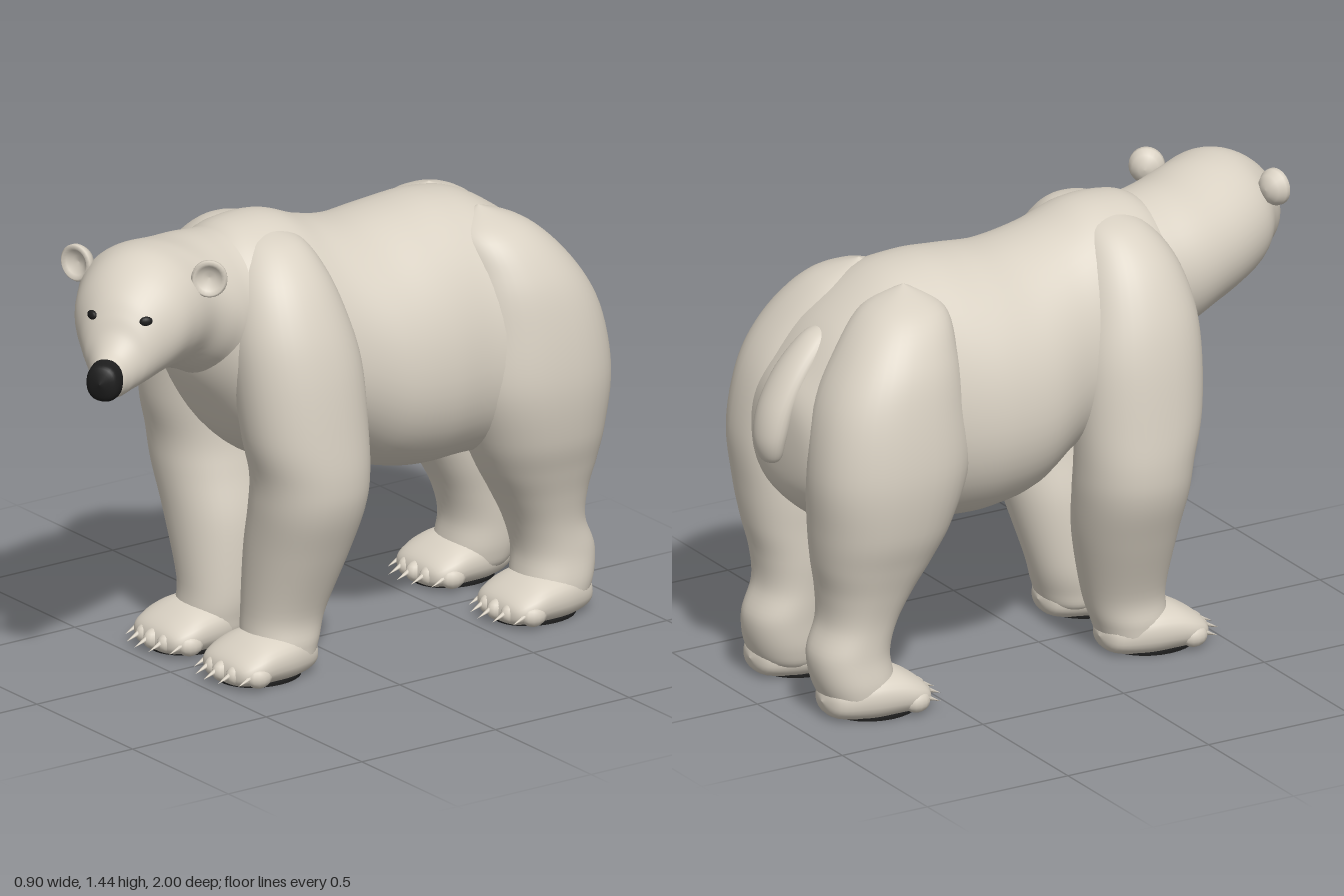
import * as THREE from 'three';

const furMat = new THREE.MeshStandardMaterial({ color: 0xd9d1c3 });
furMat.name = 'cream fur';
const darkMat = new THREE.MeshStandardMaterial({ color: 0x1d1d1d });
darkMat.name = 'dark skin';

const HEAD = { x: 0.085, z: 0.66, yaw: 0.6 };

// Catmull-Rom step for one ring value
const spline = (a, b, c, d, t) =>
  b + 0.5 * t * (c - a + t * (2 * a - 5 * b + 4 * c - d + t * (3 * (b - c) + d - a)));

// Smooth closed skin over elliptical rings [x, y, z, halfWidth, halfDepth, yaw].
// axis 'z': rings face forward, listed back to front. axis 'y': rings lie flat, listed bottom to top.
function loft(rings, { axis = 'z', power = 2, pear = 0, floor = -Infinity, sides = 40, steps = 6 } = {}) {
  const pos = [], index = [];
  const last = rings.length - 1;
  const rows = last * steps;
  const at = (i) => rings[Math.min(last, Math.max(0, i))];
  const bulge = (v) => Math.sign(v) * Math.pow(Math.abs(v), 2 / power);
  for (let r = 0; r <= rows; r++) {
    const i = Math.min(last - 1, Math.floor(r / steps));
    const t = r / steps - i;
    const v = [0, 1, 2, 3, 4, 5].map((k) =>
      spline(at(i - 1)[k] || 0, at(i)[k] || 0, at(i + 1)[k] || 0, at(i + 2)[k] || 0, t));
    const [x, y, z, , , yaw] = v;
    const a = Math.max(0, v[3]), b = Math.max(0, v[4]);
    for (let j = 0; j < sides; j++) {
      const ang = (j / sides) * Math.PI * 2;
      const s = bulge(Math.sin(ang));
      const c = bulge(Math.cos(ang)) * (1 - pear * s);
      if (axis === 'z') pos.push(x + a * c * Math.cos(yaw), Math.max(floor, y + b * s), z - a * c * Math.sin(yaw));
      else pos.push(x + a * c, Math.max(floor, y), z - b * s);
    }
  }
  for (let r = 0; r < rows; r++) {
    for (let j = 0; j < sides; j++) {
      const p = r * sides + j, q = r * sides + ((j + 1) % sides);
      index.push(p, q, p + sides, q, q + sides, p + sides);
    }
  }
  const g = new THREE.BufferGeometry();
  g.setAttribute('position', new THREE.Float32BufferAttribute(pos, 3));
  g.setIndex(index);
  g.computeVertexNormals();
  return g;
}

function add(parent, name, geometry, material = furMat) {
  const m = new THREE.Mesh(geometry, material);
  m.name = name;
  parent.add(m);
  return m;
}

// Paw with toes, claws and a dark sole; the origin is under the ankle
function makePaw(name, x, z) {
  const paw = new THREE.Group();
  paw.name = name;
  paw.position.set(x, 0, z);
  add(paw, 'foot', loft([
    [0, 0.06, -0.115, 0, 0], [0, 0.06, -0.09, 0.075, 0.05], [0, 0.07, 0, 0.12, 0.08],
    [0, 0.068, 0.1, 0.135, 0.076], [0, 0.056, 0.17, 0.132, 0.058],
    [0, 0.045, 0.215, 0.1, 0.035], [0, 0.042, 0.23, 0, 0],
  ], { floor: 0.006, power: 2.3, sides: 32, steps: 5 }));
  for (let i = -2; i <= 2; i++) {
    const tx = i * 0.056, tz = 0.205 - 0.012 * i * i;
    const toe = add(paw, 'toe', new THREE.SphereGeometry(0.035, 14, 10));
    toe.position.set(tx, 0.043, tz);
    toe.scale.set(0.9, 1, 1.25);
    const claw = add(paw, 'claw', new THREE.ConeGeometry(0.011, 0.065, 8));
    claw.position.set(tx * 1.03, 0.041, tz + 0.052);
    claw.rotation.x = Math.PI / 2 + 0.4;
  }
  const sole = add(paw, 'sole', new THREE.CylinderGeometry(1, 1, 0.008, 28), darkMat);
  sole.scale.set(0.11, 1, 0.135);
  sole.position.set(0, 0.005, 0.075);
  // furry band between the main pad and the toe pads
  const band = add(paw, 'soleFur', new THREE.TorusGeometry(0.062, 0.01, 6, 20, Math.PI));
  band.rotation.x = Math.PI / 2;
  band.scale.z = 0.3;
  band.position.set(0, 0.003, 0.08);
  return paw;
}

export function createModel() {
  const bear = new THREE.Group();
  bear.name = 'bear';

  // Trunk from rump to chest
  add(bear, 'body', loft([
    [0, 0.85, -0.935, 0, 0], [0, 0.85, -0.92, 0.17, 0.14], [0, 0.855, -0.86, 0.29, 0.235],
    [0, 0.888, -0.76, 0.36, 0.328], [0, 0.93, -0.6, 0.385, 0.4], [0, 0.943, -0.45, 0.37, 0.418],
    [0, 0.938, -0.3, 0.38, 0.413], [0, 0.95, -0.15, 0.37, 0.39], [0, 1.01, 0, 0.325, 0.36],
    [0, 1.037, 0.12, 0.31, 0.378], [0, 1.04, 0.22, 0.31, 0.383], [0, 1.07, 0.32, 0.285, 0.335],
    [0, 1.1, 0.4, 0.23, 0.24], [0, 1.1, 0.45, 0.13, 0.13], [0, 1.1, 0.465, 0, 0],
  ], { pear: 0.1, power: 2.1, sides: 56 }));

  // Neck bending into the turned head
  const headRing = (d, y, a, b) =>
    [HEAD.x + d * Math.sin(HEAD.yaw), y, HEAD.z + d * Math.cos(HEAD.yaw), a, b, HEAD.yaw];
  add(bear, 'neckAndHead', loft([
    [0, 1.17, 0.1, 0, 0, 0], [0, 1.17, 0.2, 0.2, 0.2, 0], [0, 1.17, 0.38, 0.235, 0.23, 0.1],
    [0.02, 1.2, 0.5, 0.235, 0.212, 0.35],
    headRing(-0.05, 1.232, 0.222, 0.203), headRing(0.05, 1.242, 0.2, 0.193),
    headRing(0.13, 1.228, 0.177, 0.173), headRing(0.2, 1.196, 0.136, 0.148),
    headRing(0.238, 1.168, 0.108, 0.122), headRing(0.265, 1.14, 0.085, 0.096),
    headRing(0.3, 1.12, 0.066, 0.076), headRing(0.345, 1.113, 0.047, 0.052),
    headRing(0.365, 1.113, 0, 0),
  ], { sides: 48 }));

  // Face details in the head's own frame
  const face = new THREE.Group();
  face.name = 'face';
  face.position.set(HEAD.x, 0, HEAD.z);
  face.rotation.y = HEAD.yaw;
  bear.add(face);
  add(face, 'nose', loft([
    [0, 1.118, 0.315, 0, 0], [0, 1.118, 0.325, 0.048, 0.056], [0, 1.114, 0.35, 0.054, 0.062],
    [0, 1.115, 0.38, 0.045, 0.05], [0, 1.118, 0.398, 0, 0],
  ], { sides: 24, power: 2.3 }), darkMat);
  const earProfile = [[0, -0.036], [0.02, -0.034], [0.042, -0.022], [0.055, 0], [0.056, 0.015],
    [0.048, 0.023], [0.038, 0.012], [0.02, 0.001], [0, -0.002]].map((p) => new THREE.Vector2(...p));
  for (const s of [1, -1]) {
    const side = s > 0 ? 'left' : 'right';
    const ear = add(face, side + 'Ear', new THREE.LatheGeometry(earProfile, 24));
    ear.position.set(s * 0.212, 1.358, 0);
    ear.rotation.set(Math.PI / 2, 0, -s * 0.3);
    ear.scale.set(1, 1, 1.05);
    const eye = add(face, side + 'Eye', new THREE.SphereGeometry(0.016, 14, 10), darkMat);
    eye.position.set(s * 0.087, 1.275, 0.22);
    eye.rotation.y = s * 0.6;
    eye.scale.set(1.3, 0.95, 0.7);
  }

  // Legs, mirrored; shoulders and haunches run up into the trunk
  const frontLeg = [
    [0.175, 0.02, 0.21, 0, 0], [0.175, 0.04, 0.215, 0.1, 0.085], [0.172, 0.1, 0.215, 0.12, 0.115],
    [0.167, 0.2, 0.198, 0.127, 0.128], [0.21, 0.4, 0.178, 0.163, 0.158],
    [0.255, 0.55, 0.172, 0.177, 0.175], [0.272, 0.66, 0.174, 0.176, 0.183],
    [0.268, 0.8, 0.19, 0.172, 0.2], [0.24, 1.0, 0.2, 0.175, 0.205], [0.2, 1.15, 0.21, 0.172, 0.188],
    [0.15, 1.28, 0.21, 0.15, 0.15], [0.1, 1.37, 0.2, 0.1, 0.09], [0.08, 1.4, 0.2, 0, 0],
  ];
  const hindLeg = [
    [0.205, 0.02, -0.77, 0, 0], [0.205, 0.04, -0.77, 0.1, 0.09], [0.2, 0.1, -0.78, 0.125, 0.122],
    [0.19, 0.2, -0.793, 0.125, 0.124], [0.187, 0.3, -0.762, 0.13, 0.119],
    [0.192, 0.4, -0.738, 0.148, 0.147], [0.205, 0.5, -0.718, 0.168, 0.188],
    [0.22, 0.62, -0.698, 0.192, 0.224], [0.235, 0.8, -0.678, 0.2, 0.257],
    [0.22, 1.0, -0.665, 0.195, 0.237], [0.2, 1.15, -0.63, 0.17, 0.19],
    [0.16, 1.27, -0.58, 0.12, 0.125], [0.13, 1.33, -0.56, 0, 0],
  ];
  for (const s of [1, -1]) {
    const side = s > 0 ? 'left' : 'right';
    const mirror = (rings) => rings.map(([x, ...rest]) => [s * x, ...rest]);
    add(bear, side + 'FrontLeg', loft(mirror(frontLeg), { axis: 'y', power: 2.15 }));
    add(bear, side + 'HindLeg', loft(mirror(hindLeg), { axis: 'y', power: 2.25 }));
    bear.add(makePaw(side + 'FrontPaw', s * 0.18, 0.22));
    bear.add(makePaw(side + 'HindPaw', s * 0.212, -0.785));
  }

  // Short tail hanging over the rump
  add(bear, 'tail', loft([
    [0, 0.78, -0.952, 0, 0], [0, 0.8, -0.955, 0.042, 0.03], [0, 0.87, -0.955, 0.068, 0.045],
    [0, 0.97, -0.928, 0.075, 0.05], [0, 1.08, -0.865, 0.07, 0.05], [0, 1.17, -0.78, 0.05, 0.05],
    [0, 1.2, -0.75, 0, 0],
  ], { axis: 'y', sides: 24 }));

  return bear;
}
